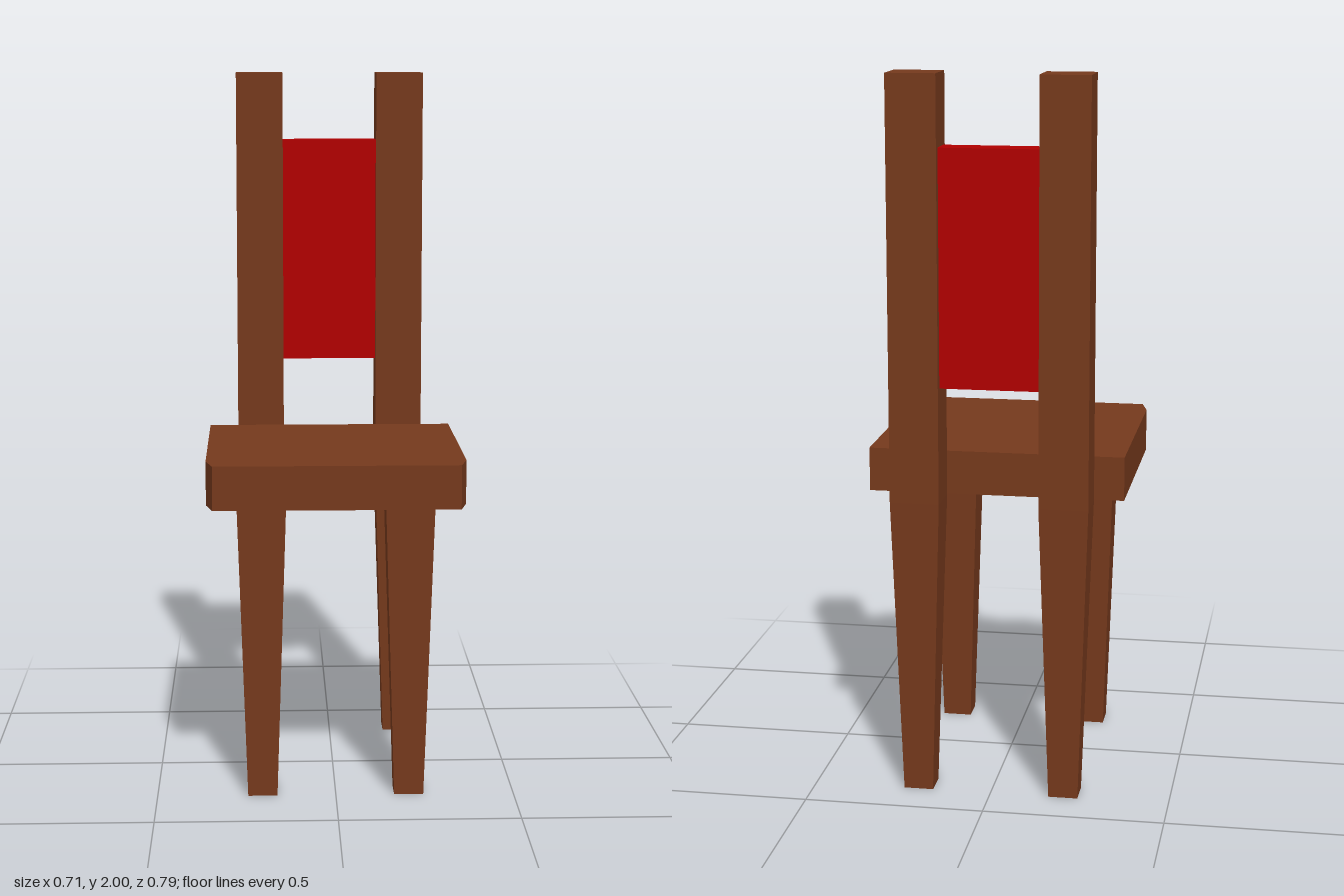
import * as THREE from 'three';

const wood = new THREE.MeshStandardMaterial({ color: 0x75391c });
wood.name = 'brown wood';
const red = new THREE.MeshStandardMaterial({ color: 0xb00000 });
red.name = 'red panel';

const SEAT_BOTTOM = 0.838, SEAT_TOP = 0.96;

function box(name, material, w, h, d, x, y, z) {
  const mesh = new THREE.Mesh(new THREE.BoxGeometry(w, h, d), material);
  mesh.name = name;
  mesh.position.set(x, y, z);
  return mesh;
}

// Square leg that narrows towards the floor
function taperedLeg(name, w, d, footW, footD, x, z) {
  const leg = box(name, wood, w, SEAT_BOTTOM, d, x, SEAT_BOTTOM / 2, z);
  const p = leg.geometry.attributes.position;
  for (let i = 0; i < p.count; i++) {
    if (p.getY(i) < 0) {
      p.setX(i, Math.sign(p.getX(i)) * footW / 2);
      p.setZ(i, Math.sign(p.getZ(i)) * footD / 2);
    }
  }
  leg.geometry = leg.geometry.toNonIndexed();
  leg.geometry.computeVertexNormals();
  return leg;
}

export function createModel() {
  const chair = new THREE.Group();
  chair.name = 'chair';

  // Seat slab with clipped front corners
  const outline = new THREE.Shape([
    [-0.356, 0.272], [-0.356, -0.318], [-0.337, -0.394],
    [0.337, -0.394], [0.356, -0.318], [0.356, 0.272],
  ].map(([x, y]) => new THREE.Vector2(x, y)));
  const seatGeometry = new THREE.ExtrudeGeometry(outline, {
    depth: SEAT_TOP - SEAT_BOTTOM, bevelEnabled: false,
  });
  seatGeometry.rotateX(-Math.PI / 2);
  const seat = new THREE.Mesh(seatGeometry, wood);
  seat.name = 'seat';
  seat.position.y = SEAT_BOTTOM;
  chair.add(seat);

  // Legs and back posts, mirrored left and right
  for (const [side, s] of [['left', 1], ['right', -1]]) {
    const x = s * 0.205;
    chair.add(taperedLeg(side + 'FrontLeg', 0.136, 0.118, 0.082, 0.078, x, 0.256));
    chair.add(taperedLeg(side + 'BackLeg', 0.136, 0.122, 0.082, 0.078, x, -0.333));
    chair.add(box(side + 'BackPost', wood, 0.136, 2 - SEAT_BOTTOM, 0.122,
      x, (2 + SEAT_BOTTOM) / 2, -0.333));
  }

  // Back panel between the posts
  chair.add(box('backPanel', red, 0.274, 0.648, 0.078, 0, 1.481, -0.333));
  return chair;
}
